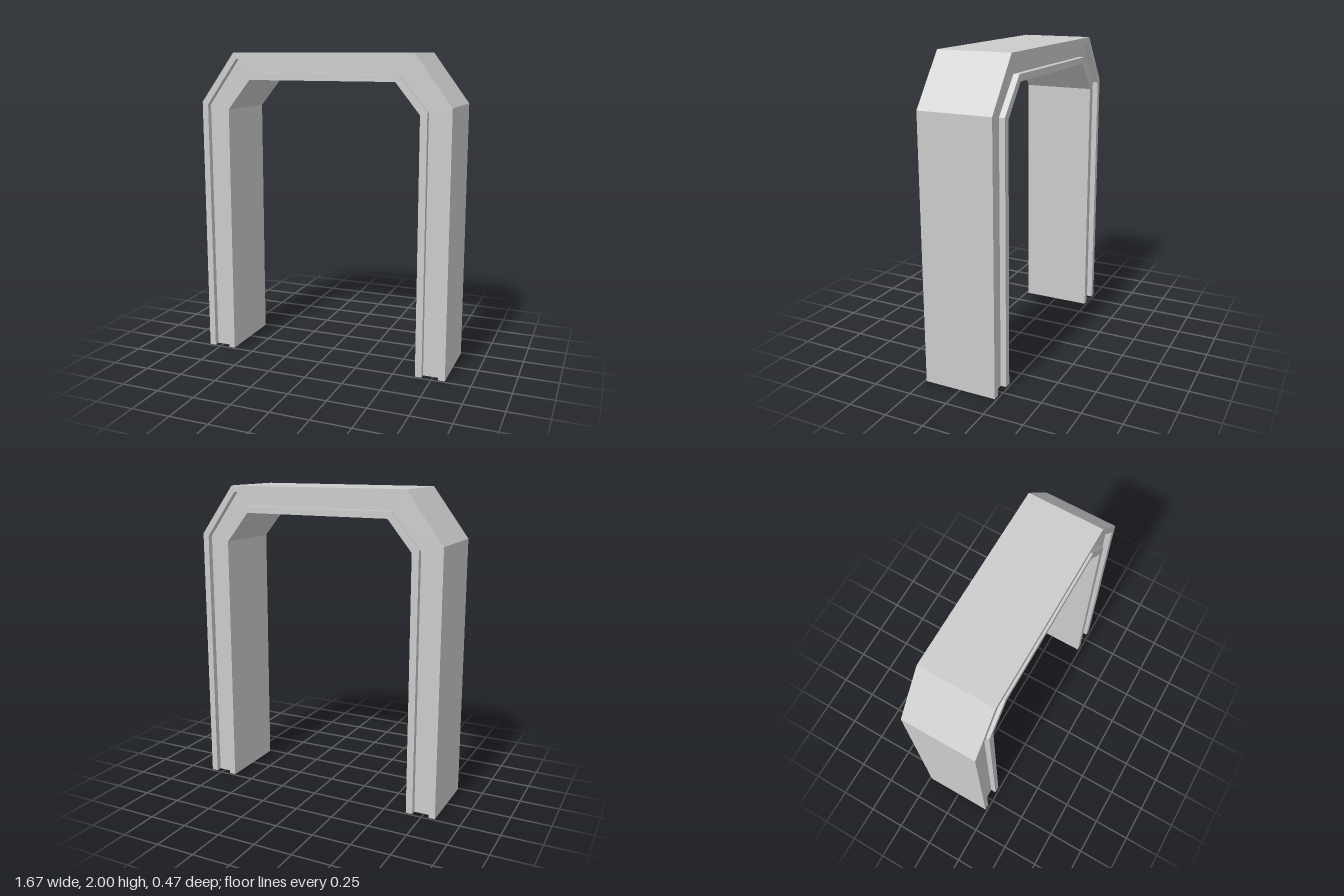
import * as THREE from 'three';

const HALF_DEPTH = 0.237;
const GROOVE = 0.2; // half depth at the floor of the recessed channel

// Half outlines [x, y] from foot to lintel, outermost to innermost
const lanes = [
  [[0.835, 0], [0.83, 1.685], [0.595, 2]],
  [[0.793, 0], [0.79, 1.668], [0.575, 1.96]],
  [[0.686, 0], [0.681, 1.655], [0.498, 1.873]],
  [[0.643, 0], [0.637, 1.64], [0.482, 1.83]],
].map((half) => [...half, ...half.slice().reverse().map(([x, y]) => [-x, y])]);

// Hollow cross-section: [lane, z], running once round the section
const section = [
  [0, HALF_DEPTH], [0, -HALF_DEPTH],
  [1, -HALF_DEPTH], [1, -GROOVE], [2, -GROOVE], [2, -HALF_DEPTH],
  [3, -HALF_DEPTH], [3, HALF_DEPTH],
  [2, HALF_DEPTH], [2, GROOVE], [1, GROOVE], [1, HALF_DEPTH],
];

function sweepFrame() {
  const positions = [];
  const point = (station, i) => {
    const [lane, z] = section[i % section.length];
    return [...lanes[lane][station], z];
  };
  for (let s = 0; s < lanes[0].length - 1; s++) {
    for (let i = 0; i < section.length; i++) {
      const a = point(s, i), b = point(s, i + 1);
      const c = point(s + 1, i + 1), d = point(s + 1, i);
      positions.push(...a, ...b, ...d, ...b, ...c, ...d);
    }
  }
  const geometry = new THREE.BufferGeometry();
  geometry.setAttribute('position', new THREE.Float32BufferAttribute(positions, 3));
  geometry.computeVertexNormals();
  return geometry;
}

export function createModel() {
  const model = new THREE.Group();
  model.name = 'doorFrame';
  const material = new THREE.MeshStandardMaterial({
    color: 0xcccccc, flatShading: true, side: THREE.DoubleSide,
  });

  // Grooved arch, open underneath
  const frame = new THREE.Mesh(sweepFrame(), material);
  frame.name = 'frame';
  model.add(frame);

  // Small plate inside the open foot of each leg
  for (const side of [1, -1]) {
    const plate = new THREE.Mesh(new THREE.BoxGeometry(0.13, 0.01, 0.12), material);
    plate.name = side > 0 ? 'leftFootPlate' : 'rightFootPlate';
    plate.position.set(side * 0.739, 0.006, 0);
    model.add(plate);
  }
  return model;
}
